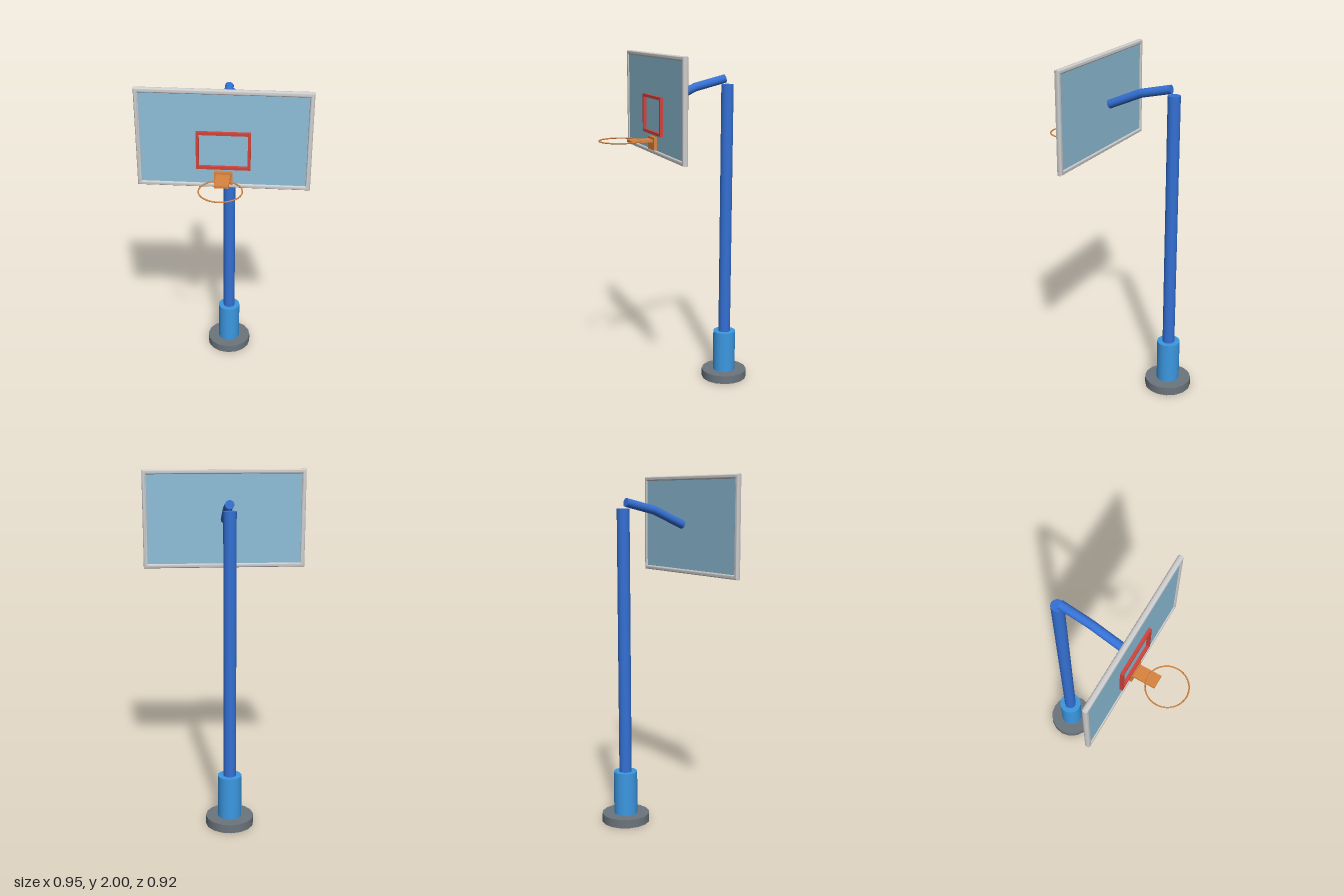
import * as THREE from 'three';
import { toCreasedNormals } from 'three/addons/utils/BufferGeometryUtils.js';

const material = (name, color) => {
  const m = new THREE.MeshStandardMaterial({ color });
  m.name = name;
  return m;
};

// Rectangular ring, centred, extruded along z from 0
function rectRing(w, h, bar, depth, bevel = 0) {
  const rect = (target, a, b) => {
    target.moveTo(-a, -b);
    target.lineTo(a, -b);
    target.lineTo(a, b);
    target.lineTo(-a, b);
    target.closePath();
    return target;
  };
  const shape = rect(new THREE.Shape(), w / 2 - bevel, h / 2 - bevel);
  shape.holes.push(rect(new THREE.Path(), w / 2 - bar + bevel, h / 2 - bar + bevel));
  const geo = new THREE.ExtrudeGeometry(shape, {
    depth: depth - 2 * bevel,
    bevelEnabled: bevel > 0,
    bevelSize: bevel,
    bevelThickness: bevel,
    bevelSegments: 4,
  });
  geo.translate(0, 0, bevel);
  return toCreasedNormals(geo, 0.7);
}

export function createModel() {
  const group = new THREE.Group();
  group.name = 'basketballHoop';
  const poleBlue = material('poleBlue', 0x3470d4);
  const sleeveBlue = material('sleeveBlue', 0x3c98e2);
  const baseGrey = material('baseGrey', 0x6c757d);
  const frameGrey = material('frameGrey', 0xcdcdcd);
  const glassBlue = material('glassBlue', 0x8ebed8);
  const targetRed = material('targetRed', 0xd0443c);
  const hoopOrange = material('hoopOrange', 0xd98440);

  const add = (name, geo, mat, x, y, z) => {
    const mesh = new THREE.Mesh(geo, mat);
    mesh.name = name;
    mesh.position.set(x, y, z);
    group.add(mesh);
    return mesh;
  };

  // Upright: base disc, sleeve and pole stacked on one axis
  const poleZ = -0.322;
  const column = (name, r, y0, y1, sides, mat) =>
    add(name, new THREE.CylinderGeometry(r, r, y1 - y0, sides), mat, 0, (y0 + y1) / 2, poleZ);
  column('base', 0.138, 0, 0.05, 16, baseGrey);
  column('sleeve', 0.068, 0.05, 0.3, 24, sleeveBlue);
  column('pole', 0.036, 0.3, 1.815, 20, poleBlue);

  // Bent arm reaching forward from the pole top
  const armRadius = 0.025;
  const bends = [[1.848, -0.305], [1.804, -0.12], [1.718, 0.077]]
    .map(([y, z]) => new THREE.Vector3(0, y, z));
  for (let i = 0; i < bends.length - 1; i++) {
    const a = bends[i], b = bends[i + 1];
    const mid = a.clone().lerp(b, 0.5);
    const arm = add('arm', new THREE.CylinderGeometry(armRadius, armRadius, a.distanceTo(b), 16),
      poleBlue, mid.x, mid.y, mid.z);
    arm.quaternion.setFromUnitVectors(new THREE.Vector3(0, 1, 0), b.clone().sub(a).normalize());
  }
  add('armElbow', new THREE.SphereGeometry(armRadius, 16, 12), poleBlue, 0, bends[1].y, bends[1].z);

  // Backboard: rounded frame, glass panel and target rectangle
  const boardY = 1.715;
  add('boardFrame', rectRing(0.95, 0.57, 0.026, 0.032, 0.011), frameGrey, 0, boardY, 0.108);
  add('glass', new THREE.BoxGeometry(0.91, 0.53, 0.016), glassBlue, 0, boardY, 0.124);
  add('target', rectRing(0.296, 0.218, 0.016, 0.018), targetRed, 0, 1.656, 0.132);

  // Hoop: mounting plate, shelf and ring
  add('hoopPlate', new THREE.BoxGeometry(0.1, 0.074, 0.02), hoopOrange, 0, 1.495, 0.142);
  add('hoopShelf', new THREE.BoxGeometry(0.078, 0.014, 0.134), hoopOrange, 0, 1.511, 0.215);
  const ring = add('hoopRing', new THREE.TorusGeometry(0.1165, 0.004, 8, 48), hoopOrange, 0, 1.517, 0.337);
  ring.rotation.x = Math.PI / 2;

  return group;
}
